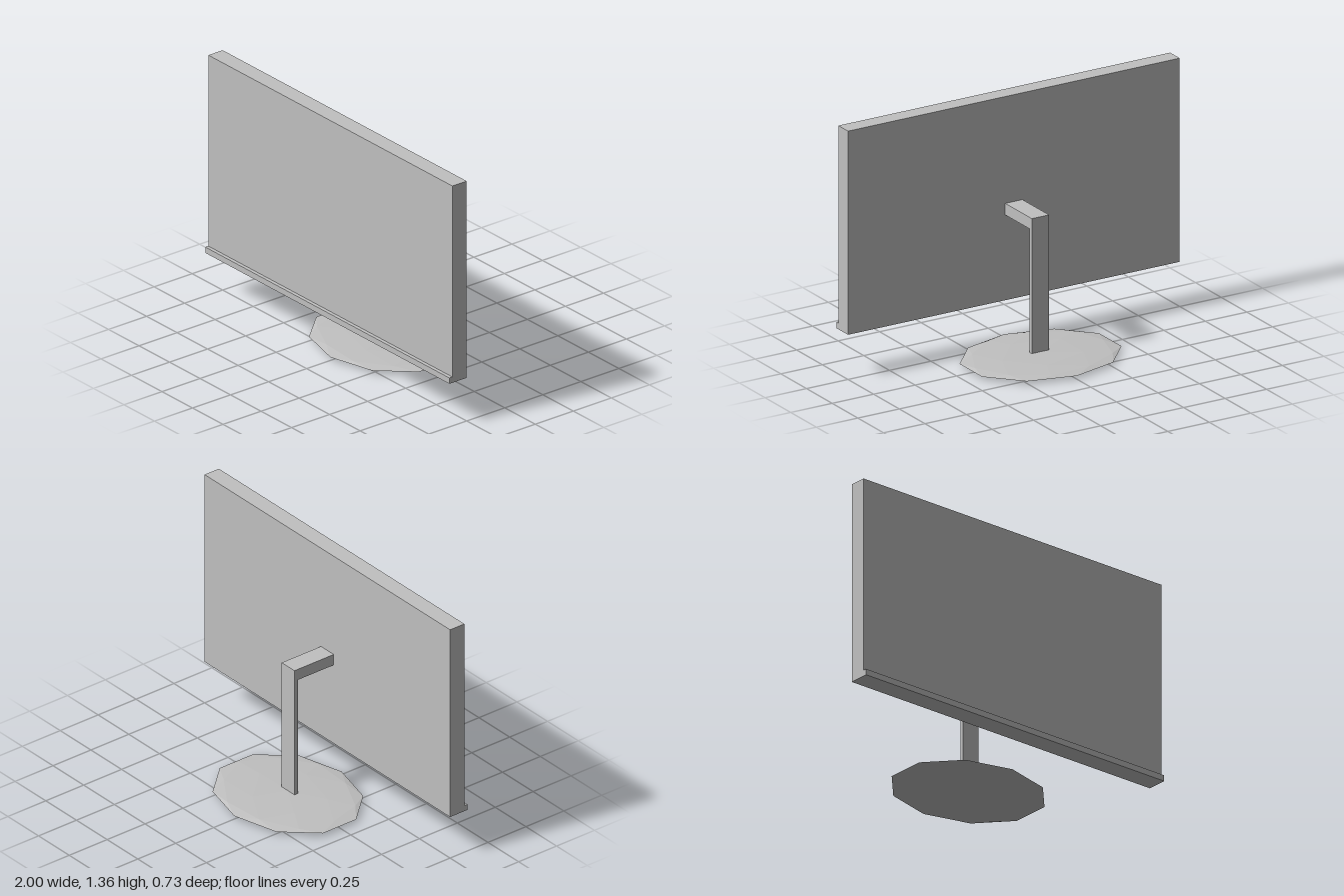
import * as THREE from 'three';

// Extrude a (z, y) side profile along x, centred on x = 0
function sideProfile(points, width) {
  const shape = new THREE.Shape(points.map(([z, y]) => new THREE.Vector2(z, y)));
  const geo = new THREE.ExtrudeGeometry(shape, { depth: width, bevelEnabled: false });
  geo.translate(0, 0, -width / 2);
  geo.rotateY(-Math.PI / 2);
  return geo;
}

export function createModel() {
  const group = new THREE.Group();
  group.name = 'monitor';

  const grey = new THREE.MeshStandardMaterial({ color: 0xc0c0c0, flatShading: true });
  grey.name = 'grey plastic';

  const add = (name, geo) => {
    const mesh = new THREE.Mesh(geo, grey);
    mesh.name = name;
    group.add(mesh);
    return mesh;
  };

  // Screen panel with a small lip along the lower front edge
  add('screenPanel', sideProfile([
    [0.25, 0.245], [0.364, 0.245], [0.364, 0.278],
    [0.344, 0.278], [0.344, 1.362], [0.25, 1.362],
  ], 2));

  // Upright post and the arm that carries the panel, one bent piece
  add('standArm', sideProfile([
    [-0.009, 0.03], [0.013, 0.03], [0.013, 0.713],
    [0.25, 0.713], [0.25, 0.776], [-0.009, 0.776],
  ], 0.104));

  // Foot: a low-poly ball with a vertex at the pole, flattened to an oval disc
  const foot = new THREE.IcosahedronGeometry(1, 1);
  foot.rotateX(-Math.atan((1 + Math.sqrt(5)) / 2));
  foot.rotateY(Math.PI / 2);
  foot.scale(0.442, 0.018, 0.354);
  foot.translate(0, 0.018, -0.01);
  foot.computeVertexNormals();
  add('footPlate', foot);

  return group;
}
